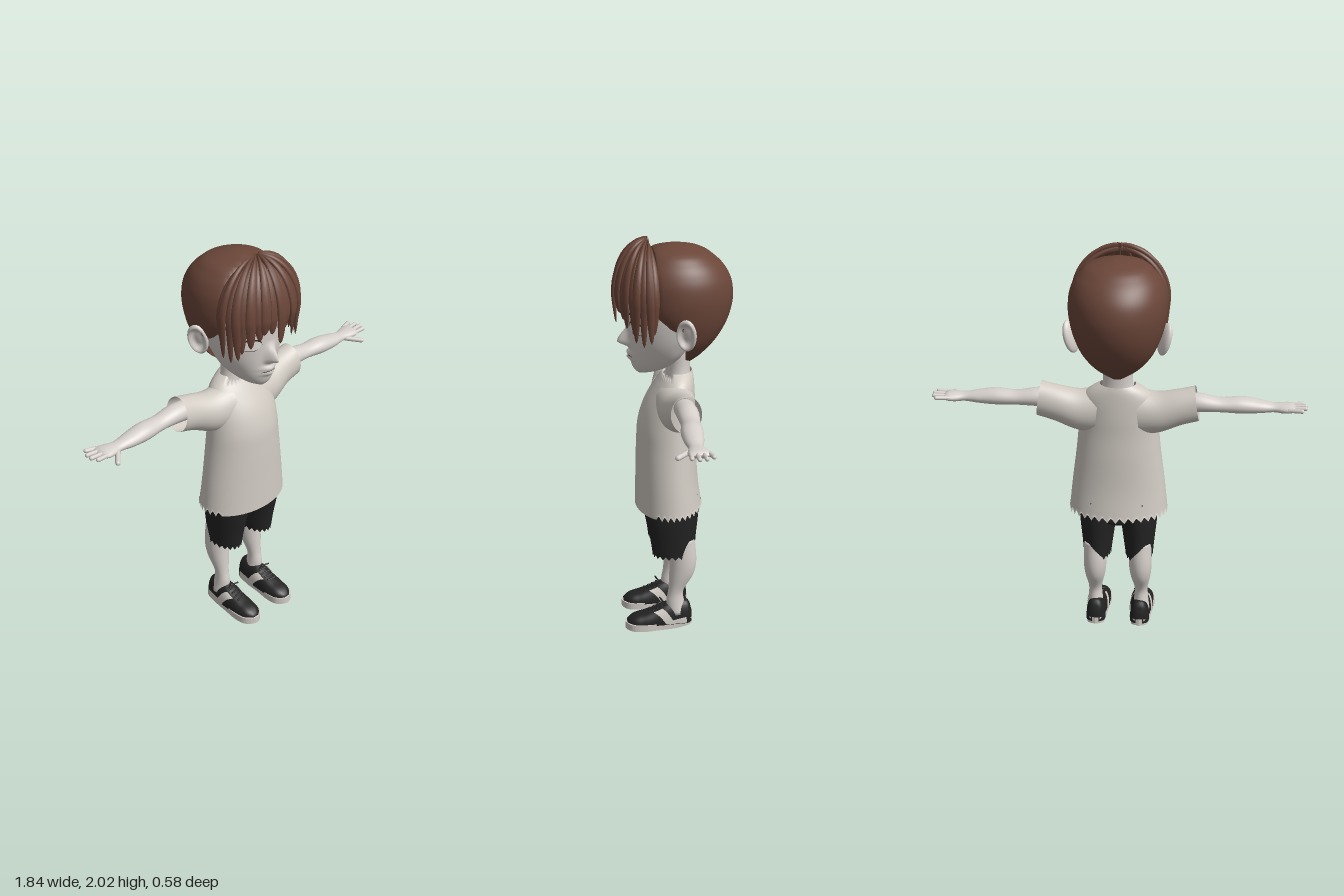
import * as THREE from 'three';
import { toCreasedNormals } from 'three/addons/utils/BufferGeometryUtils.js';

const { sin, cos, sqrt, abs, exp, sign, PI } = Math;
const { lerp, smoothstep } = THREE.MathUtils;
const V = (x, y, z) => new THREE.Vector3(x, y, z);
const mat = (name, color, side = THREE.FrontSide) => Object.assign(new THREE.MeshStandardMaterial({ color, side }), { name });

// Smooth interpolation of rows; the first column is the ascending key.
function spline(rows) {
  const c = new THREE.CubicInterpolant(rows.map(r => r[0]), rows.flat(), rows[0].length);
  const f = k => Array.from(c.evaluate(k));
  f.steps = n => Array.from({ length: n + 1 }, (_, i) => f(lerp(rows[0][0], rows.at(-1)[0], i / n)));
  return f;
}

// Skin over closed rings of points, always turned outward.
function loft(rings, caps = true) {
  const n = rings[0].length, pts = rings.flat(), idx = [];
  for (let i = 0; i < rings.length - 1; i++) for (let j = 0; j < n; j++) {
    const a = i * n + j, b = i * n + (j + 1) % n;
    idx.push(a, b, a + n, b, b + n, a + n);
  }
  if (caps) for (const [r, s] of [[0, 1], [rings.length - 1, 0]]) {
    const mid = V(0, 0, 0);
    rings[r].forEach(p => mid.addScaledVector(p, 1 / n));
    pts.push(mid);
    for (let j = 0; j < n; j++) {
      const a = r * n + j, b = r * n + (j + 1) % n;
      idx.push(...(s ? [b, a] : [a, b]), pts.length - 1);
    }
  }
  const centre = new THREE.Box3().setFromPoints(pts).getCenter(V(0, 0, 0));
  let vol = 0;
  for (let i = 0; i < idx.length; i += 3) {
    const [a, b, c] = [0, 1, 2].map(k => pts[idx[i + k]].clone().sub(centre));
    vol += a.dot(b.cross(c));
  }
  if (vol < 0) idx.reverse();
  const g = new THREE.BufferGeometry().setFromPoints(pts);
  g.setIndex(idx);
  g.computeVertexNormals();
  return g;
}

const ring = (n, fn) => Array.from({ length: n }, (_, j) => fn(j / n * 2 * PI, j));
// Horizontal egg-shaped section: [y, half width, front z, back z, widest z, centre x]
const oval = ([y, rx, zf, zb, cz, cx = 0], n) => ring(n, t =>
  V(cx + rx * sin(t), y, cz + (cos(t) > 0 ? zf - cz : cz - zb) * cos(t)));
// Section across a sideways limb: [x, centre y, half height, centre z, half depth]
const across = ([x, cy, ry, cz, rz], n, slant = 0) => ring(n, t =>
  V(x - slant * cos(t), cy + ry * cos(t), cz + rz * sin(t)));

function capsule(a, b, r) {
  const d = b.clone().sub(a), g = new THREE.CapsuleGeometry(r, d.length(), 5, 10);
  g.applyQuaternion(new THREE.Quaternion().setFromUnitVectors(V(0, 1, 0), d.normalize()));
  const m = a.clone().add(b).multiplyScalar(0.5);
  return g.translate(m.x, m.y, m.z);
}

function mirrored(geo) {
  const g = geo.clone().scale(-1, 1, 1);
  g.setIndex(Array.from(g.index.array).reverse());
  return g;
}

// Grid moved by a rule of u, v in 0..1
function patch(nu, nv, fn) {
  const g = new THREE.PlaneGeometry(1, 1, nu, nv), p = g.attributes.position;
  for (let i = 0; i < p.count; i++) p.setXYZ(i, ...fn(p.getX(i) + 0.5, p.getY(i) + 0.5));
  g.computeVertexNormals();
  return g;
}

export function createModel() {
  const model = new THREE.Group();
  model.name = 'child';
  const skin = mat('skin', 0xd6d0cb), cloth = mat('shirt cloth', 0xd0cac2, THREE.DoubleSide);
  const hair = mat('hair brown', 0x6b4639), dark = mat('black cloth', 0x232324, THREE.DoubleSide);
  const pale = mat('pale rubber', 0xd3cdc6, THREE.DoubleSide), white = mat('eye white', 0xe6e2dd);
  const line = mat('dark line', 0x3a2e2a);
  const add = (name, geo, m) => {
    const mesh = new THREE.Mesh(geo, m);
    mesh.name = name;
    model.add(mesh);
  };
  const pair = (name, geo, m) => { add(name + 'Left', geo, m); add(name + 'Right', mirrored(geo), m); };

  // Head with nose and lips
  const head = spline([[1.352, .012, .165, .13, .15], [1.37, .055, .185, .06, .12], [1.4, .092, .2, 0, .08],
    [1.45, .132, .207, -.05, .04], [1.52, .168, .21, -.1, .03], [1.6, .19, .215, -.17, .02], [1.7, .203, .22, -.22, 0],
    [1.8, .2, .21, -.22, 0], [1.9, .145, .15, -.15, 0], [1.95, .05, .05, -.05, 0]]);
  const relief = (x, y) => {
    const nose = y > 1.513 ? 1 - smoothstep(y, 1.513, 1.61) : smoothstep(y, 1.48, 1.513);
    return .058 * nose * exp(-((x / .024) ** 2))
      + .018 * (exp(-(((y - 1.46) / .012) ** 2)) + exp(-(((y - 1.434) / .01) ** 2))) * exp(-((x / .04) ** 2));
  };
  add('head', loft(head.steps(64).map(s => oval(s, 96).map(p => {
    if (p.z > s[4]) p.z += relief(p.x, p.y);
    return p;
  }))), skin);
  add('neck', loft(spline([[1.28, .1, .04, -.09, -.03], [1.36, .075, .03, -.085, -.03], [1.48, .075, .03, -.09, -.03]])
    .steps(10).map(s => oval(s, 32))), skin);

  // Facial details lying on the face
  const faceZ = (x, y) => {
    const [, rx, zf, , cz] = head(y);
    return cz + (zf - cz) * sqrt(Math.max(0, 1 - (x / rx) ** 2)) + relief(x, y);
  };
  const onFace = (x0, x1, low, high, lift) => patch(18, 4, (u, v) => {
    const x = lerp(x0, x1, u), y = lerp(low(u), high(u), v);
    return [x, y, faceZ(x, y) + lift];
  });
  const arch = u => sqrt(Math.max(0, 1 - (2 * u - 1) ** 2));
  pair('eye', onFace(.058, .15, u => 1.603 - .026 * arch(u), u => 1.603 + .03 * arch(u), .004), white);
  pair('upperLid', onFace(.054, .154, u => 1.602 + .028 * arch(u), u => 1.604 + .036 * arch(u), .006), line);
  pair('lowerLid', onFace(.07, .14, u => 1.59 - .016 * arch(u), u => 1.59 - .013 * arch(u), .006), line);
  pair('eyebrow', onFace(.04, .15, u => 1.652 + .02 * sin(u * 2.4), u => 1.656 + .03 * sin(u * 2.4), .005), line);
  add('mouth', onFace(-.048, .048, u => 1.444 + .003 * arch(u), u => 1.445 + .007 * arch(u), .004), line);

  // Ears: dished ovals flaring outward
  const ear = new THREE.SphereGeometry(1, 28, 20), ep = ear.attributes.position;
  for (let i = 0; i < ep.count; i++) {
    const x = ep.getX(i), r2 = ep.getY(i) ** 2 + ep.getZ(i) ** 2;
    if (x > 0) ep.setX(i, x - 1.3 * smoothstep(1 - r2, .25, .8));
  }
  ear.scale(.024, .083, .05).rotateY(-.5).rotateZ(-.24).translate(.225, 1.6, -.04);
  ear.computeVertexNormals();
  pair('ear', ear, skin);

  // Hair cap, cut flat along the hairline inside the head
  const hairline = y => y > 1.62 ? lerp(.06, .09, smoothstep(y, 1.62, 1.68)) : lerp(-.055, .02, smoothstep(y, 1.58, 1.62));
  const cap = spline([[1.405, .03, -.05, -.09, -.06], [1.45, .1, -.04, -.14, -.06], [1.52, .165, 0, -.205, -.05],
    [1.6, .205, .1, -.255, -.04], [1.68, .228, .18, -.283, -.03], [1.76, .236, .2, -.29, -.03], [1.85, .222, .2, -.265, -.03],
    [1.92, .18, .16, -.205, -.03], [1.965, .115, .1, -.13, -.02], [1.985, .02, .02, -.04, -.01]]);
  add('hairCap', toCreasedNormals(loft(cap.steps(50).map(s => oval(s, 72).map(p => {
    p.z = Math.min(p.z, hairline(p.y));
    return p;
  }))), .9), hair);

  // Fringe: tapered locks fanning out from the crown
  const lock = (phi, wide, end, lift, drift) => loft(Array.from({ length: 25 }, (_, i) => {
    const s = i / 24, a = Math.min(1, s / .55) * PI / 2, down = Math.max(0, (s - .55) / .45);
    const taper = sqrt(Math.max(.0004, 1 - s ** 4)), h = Math.max(.05, sin(a)) * (1 - .07 * down);
    const y = 1.75 + (.235 + lift) * cos(a) - (1.75 - end) * down;
    return ring(8, t => {
      const p = phi + drift * s * s + wide * taper * cos(t), o = lift + .011 * taper * sin(t);
      return V((.222 + o) * sin(p) * h, y + o * cos(a), .115 + (.157 + o) * cos(p) * h);
    });
  }));
  const ends = [1.61, 1.67, 1.68, 1.65, 1.62, 1.59, 1.56, 1.54, 1.56, 1.6];
  ends.forEach((end, k) => {
    const phi = k * .185, g = lock(phi, k ? .125 : .13, end, k % 2 ? .002 : .011, k ? .05 * (k % 3 - 1) : .03);
    if (k) pair('fringeLock' + k, g, hair); else add('fringeLockMiddle', g, hair);
  });

  // Shirt body with ragged hem and dipped collar
  const N = 72, body = spline([[.655, .25, .19, -.145, .02], [.8, .235, .186, -.125, .02], [1, .21, .18, -.115, .02],
    [1.1, .2, .172, -.11, .02], [1.2, .19, .14, -.11, .01], [1.3, .17, .08, -.105, -.01], [1.345, .12, .05, -.1, -.02],
    [1.362, .088, .045, -.095, -.025]]).steps(40).map(s => oval(s, N));
  body[0].forEach((p, j) => { if (cos(j / N * 2 * PI) < .45) p.y += j % 2 ? .028 : -.005; });
  body.at(-1).forEach((p, j) => { if (p.z > .01) p.y -= j % 2 ? .035 : .01; });
  add('shirtBody', loft(body, false), cloth);
  pair('sleeve', loft(spline([[.1, 1.21, .12, 0, .1], [.2, 1.213, .102, -.01, .092], [.3, 1.245, .09, -.02, .078],
    [.387, 1.268, .088, -.02, .073]]).steps(14).map(s => across(s, 36, .012)), false), cloth);

  // Arms, hands and fingers
  pair('arm', loft(spline([[.3, 1.27, .05, -.02, .05], [.4, 1.275, .046, -.025, .052], [.5, 1.268, .036, -.025, .046],
    [.6, 1.268, .041, -.018, .052], [.69, 1.263, .032, -.015, .045], [.76, 1.26, .022, -.015, .035],
    [.81, 1.26, .023, -.018, .048], [.85, 1.263, .016, -.02, .05], [.862, 1.264, .006, -.02, .04]])
    .steps(40).map(s => across(s, 28))), skin);
  [[-.06, -.075, .89], [-.035, -.042, .908], [-.007, -.01, .91], [.019, .022, .897]].forEach(([z0, z1, x], i) =>
    pair('finger' + (i + 1), capsule(V(.83, 1.264, z0), V(x, 1.268, z1), .0105), skin));
  pair('thumb', capsule(V(.775, 1.252, .012), V(.828, 1.244, .074), .0125), skin);

  // Legs
  pair('leg', loft(spline([[.08, .045, .04, -.06, -.01, .12], [.15, .036, .045, -.045, 0, .12], [.2, .034, .036, -.042, 0, .12],
    [.3, .052, .03, -.095, -.03, .118], [.36, .058, .028, -.108, -.04, .117], [.5, .058, .03, -.1, -.035, .115]])
    .steps(28).map(s => oval(s, 32))), skin);

  // Shorts
  const shortLeg = spline([[.41, .07, .112, -.1, .005, .108], [.5, .08, .125, -.105, .01, .106],
    [.6, .092, .145, -.115, .015, .104], [.66, .099, .155, -.12, .018, .1], [.74, .099, .15, -.115, .018, .1]])
    .steps(16).map(s => oval(s, 40));
  shortLeg[0].forEach((p, j) => { p.y += j % 2 ? .01 : -.008; });
  pair('shortsLeg', loft(shortLeg, false), dark);
  add('shortsSeat', loft([.62, .64, .7, .75].map((y, i) => oval([y, [.08, .17, .19, .18][i], .13, -.11, .01], 40))), dark);

  // Shoes: upper, side stripes, laces and sole
  const shoe = spline([[-.085, .02, .085], [-.075, .038, .125], [-.04, .05, .148], [0, .052, .142], [.05, .056, .132],
    [.1, .059, .108], [.16, .06, .086], [.22, .048, .068], [.248, .02, .048]]);
  const upper = (z, t, off = 0) => {
    const [, w, top] = shoe(z), c = cos(t);
    return [.115 + (w + off) * sign(c) * abs(c) ** .7, .03 + (top - .03 + off) * Math.max(0, sin(t)), z];
  };
  pair('shoeUpper', loft(Array.from({ length: 41 }, (_, i) => ring(40, t => V(...upper(lerp(-.085, .248, i / 40), t))))), dark);
  for (const [name, flip] of [['outerStripe', 0], ['innerStripe', 1]]) {
    pair(name, patch(8, 12, (u, v) => {
      const t = .04 + v * 1.05;
      return upper(lerp(.005, .07, v) + u * .045, flip ? PI - t : t, .004);
    }), pale);
    pair(name + 'Base', patch(12, 4, (u, v) => {
      const t = .04 + v * .28 * (1 - u * .4);
      return upper(lerp(-.055, .03, u), flip ? PI - t : t, .004);
    }), pale);
  }
  for (let i = 0; i < 4; i++) {
    const z = .065 + i * .022, y = shoe(z)[2] + .001;
    pair('lace' + (i + 1), capsule(V(.093, y - .004, z), V(.137, y - .004, z + .006), .005), dark);
  }
  for (const s of [-1, 1]) pair(s < 0 ? 'innerBow' : 'outerBow', capsule(V(.115, .136, .06), V(.115 + s * .035, .142, .075), .004), dark);
  const outline = new THREE.Shape(new THREE.SplineCurve([[0, .09], [.04, .07], [.047, 0], [.056, -.08], [.065, -.16],
    [.052, -.225], [0, -.258], [-.052, -.225], [-.062, -.16], [-.052, -.08], [-.047, 0], [-.04, .07], [0, .09]]
    .map(p => new THREE.Vector2(...p))).getPoints(60));
  const sole = new THREE.ExtrudeGeometry(outline, { depth: .036, bevelEnabled: false, curveSegments: 12 });
  sole.rotateX(-PI / 2).translate(.115, .002, 0);
  const sp = sole.attributes.position;
  for (let i = 0; i < sp.count; i++) sp.setY(i, sp.getY(i) + .016 * smoothstep(-sp.getZ(i), -.02, .09));
  sole.computeVertexNormals();
  add('soleLeft', sole, pale);
  add('soleRight', sole.clone().rotateY(PI).scale(1, 1, -1), pale);
  return model;
}
